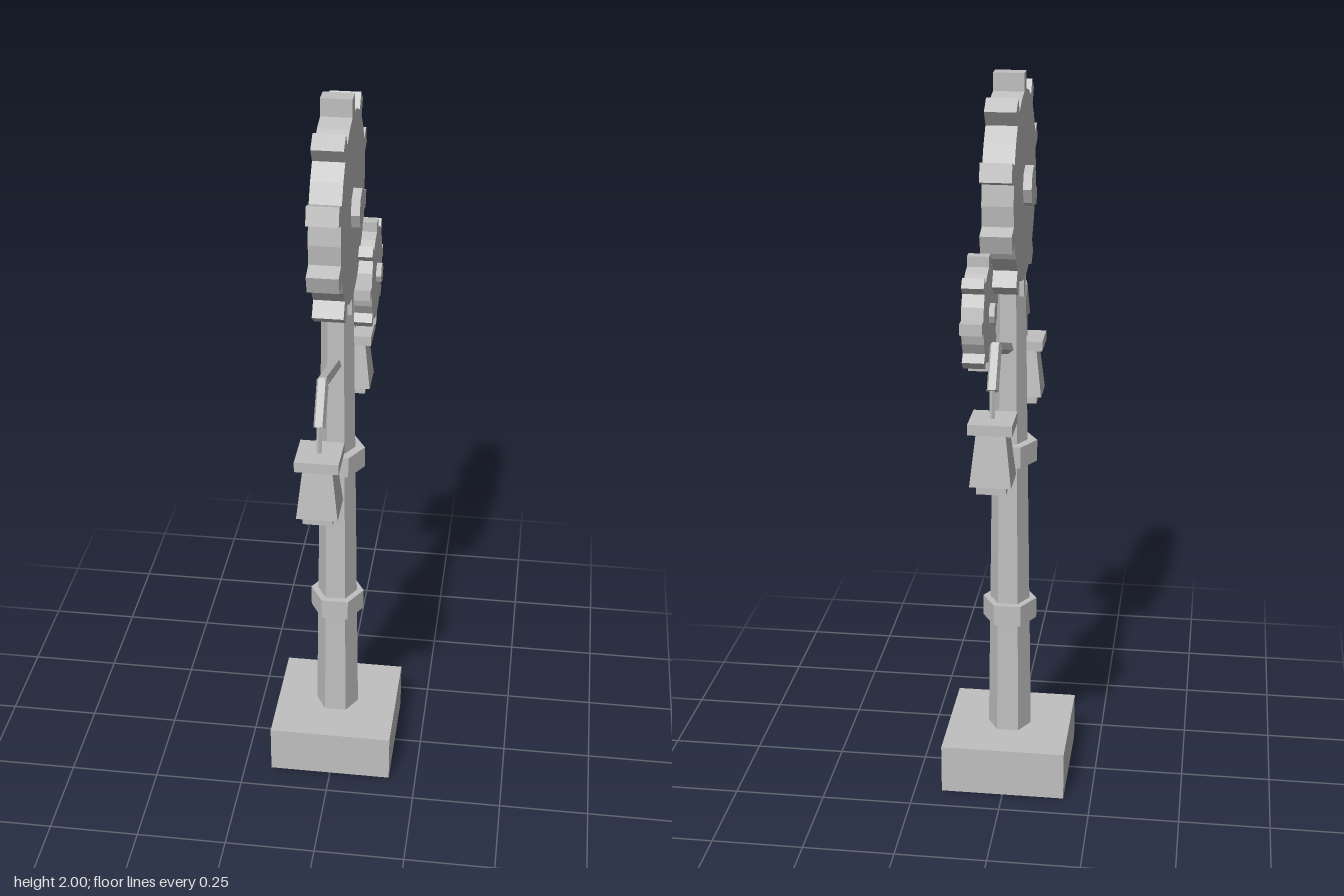
import * as THREE from 'three';

const metal = new THREE.MeshStandardMaterial({ color: 0xc0c0c0 });
metal.name = 'grey metal';

function add(parent, name, geometry, x = 0, y = 0, z = 0) {
  const flat = geometry.index ? geometry.toNonIndexed() : geometry;
  flat.computeVertexNormals();
  const mesh = new THREE.Mesh(flat, metal);
  mesh.name = name;
  mesh.position.set(x, y, z);
  parent.add(mesh);
  return mesh;
}

// Prism with a corner pointing to +x
const hexPrism = (top, bottom, height) =>
  new THREE.CylinderGeometry(top, bottom, height, 6).rotateY(Math.PI / 2);

// Square frustum given by its half widths
const squareFrustum = (top, bottom, height) =>
  new THREE.CylinderGeometry(top * Math.SQRT2, bottom * Math.SQRT2, height, 4).rotateY(Math.PI / 4);

// Toothed disc whose axle runs along x
function gearGeometry(teeth, radius, outer, toothWidth, thickness) {
  const shape = new THREE.Shape();
  const w = toothWidth / 2;
  const inner = Math.sqrt(radius * radius - w * w);
  const step = (Math.PI * 2) / teeth;
  const points = [];
  for (let i = 0; i < teeth; i++) {
    const a = Math.PI / 2 + i * step;
    const c = Math.cos(a), s = Math.sin(a);
    for (const [r, t] of [[inner, -w], [outer, -w], [outer, w], [inner, w]]) {
      points.push(new THREE.Vector2(r * c - t * s, r * s + t * c));
    }
    const m = a + step / 2;
    points.push(new THREE.Vector2(radius * Math.cos(m), radius * Math.sin(m)));
  }
  shape.setFromPoints(points);
  return new THREE.ExtrudeGeometry(shape, { depth: thickness, bevelEnabled: false })
    .translate(0, 0, -thickness / 2)
    .rotateY(Math.PI / 2);
}

function addGear(parent, name, x, y, z, gear, hubRadius, hubLength) {
  const group = new THREE.Group();
  group.name = name;
  group.position.set(x, y, z);
  add(group, 'toothedDisc', gear);
  add(group, 'hub', new THREE.CylinderGeometry(hubRadius, hubRadius, hubLength, 8).rotateZ(Math.PI / 2));
  parent.add(group);
}

// Straight bar between two points in the x = 0 plane
function addBar(parent, name, [y0, z0], [y1, z1], radius, sides) {
  const from = new THREE.Vector3(0, y0, z0);
  const to = new THREE.Vector3(0, y1, z1);
  const dir = to.clone().sub(from);
  const bar = add(parent, name, new THREE.CylinderGeometry(radius, radius, dir.length(), sides));
  bar.position.copy(from).add(to).multiplyScalar(0.5);
  bar.quaternion.setFromUnitVectors(new THREE.Vector3(0, 1, 0), dir.normalize());
}

// Bent arm with a hanging lantern
function makeLampArm() {
  const arm = new THREE.Group();
  addBar(arm, 'armRise', [1.27, 0], [1.363, 0.287], 0.016, 5);
  addBar(arm, 'armDrop', [1.37, 0.283], [1.268, 0.348], 0.016, 5);
  addBar(arm, 'hangingRod', [1.28, 0.348], [1.19, 0.348], 0.007, 5);
  add(arm, 'lanternCap', new THREE.BoxGeometry(0.112, 0.028, 0.112), 0, 1.183, 0.348);
  add(arm, 'lanternBody', squareFrustum(0.037, 0.053, 0.142), 0, 1.1, 0.348);
  add(arm, 'lanternFoot', new THREE.BoxGeometry(0.076, 0.026, 0.076), 0, 1.018, 0.348);
  return arm;
}

export function createModel() {
  const model = new THREE.Group();
  model.name = 'gearStreetLamp';

  // Base and post
  add(model, 'base', new THREE.BoxGeometry(0.346, 0.14, 0.346), 0, 0.07, 0);
  add(model, 'post', hexPrism(0.042, 0.061, 1.34), 0, 0.8, 0);
  for (const y of [0.508, 0.982]) {
    add(model, 'postBand', hexPrism(0.075, 0.075, 0.06), 0, y, 0);
  }

  // Gears
  addGear(model, 'largeGear', 0, 1.71, 0, gearGeometry(10, 0.245, 0.29, 0.048, 0.08), 0.053, 0.125);
  addGear(model, 'smallGear', 0.05, 1.431, -0.222, gearGeometry(8, 0.124, 0.15, 0.03, 0.056), 0.027, 0.084);

  // Lamp arms
  for (const [name, turn] of [['frontLampArm', 0], ['backLampArm', Math.PI]]) {
    const arm = makeLampArm();
    arm.name = name;
    arm.rotation.y = turn;
    model.add(arm);
  }
  return model;
}
